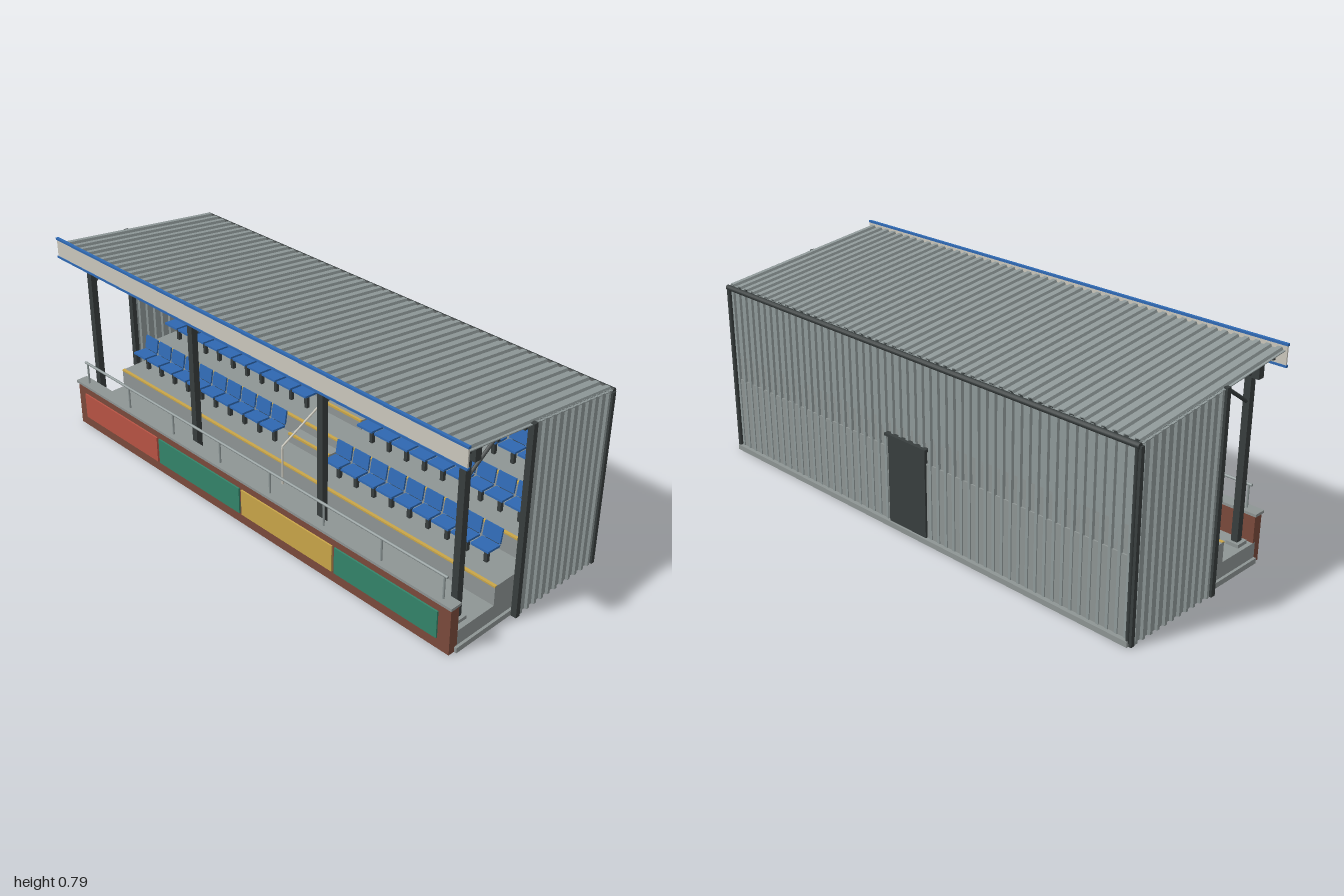
import * as THREE from 'three';

const mat = (name, color) => {
  const m = new THREE.MeshStandardMaterial({ color });
  m.name = name;
  return m;
};

export function createModel() {
  const root = new THREE.Group();
  root.name = 'grandstand';
  const sheet = mat('sheetGrey', 0x8f9999);
  const concrete = mat('concrete', 0x8e9594);
  const steel = mat('darkSteel', 0x383e3e);
  const brick = mat('brick', 0x7a4a3b);
  const blue = mat('seatBlue', 0x2f69b3);
  const white = mat('offWhite', 0xcbc8bd);
  const yellow = mat('yellow', 0xc9a548);
  const green = mat('green', 0x33846a);
  const red = mat('red', 0xb85344);

  const add = (name, geo, material, parent = root) => {
    const m = new THREE.Mesh(geo, material);
    m.name = name;
    parent.add(m);
    return m;
  };
  // Box given by its extents on each axis
  const box = (name, material, x0, x1, y0, y1, z0, z1, parent = root) => {
    const m = add(name, new THREE.BoxGeometry(x1 - x0, y1 - y0, z1 - z0), material, parent);
    m.position.set((x0 + x1) / 2, (y0 + y1) / 2, (z0 + z1) / 2);
    return m;
  };
  // Straight bar between two points, round or square
  const bar = (name, material, a, b, r, sides = 8) => {
    const p = new THREE.Vector3(...a), q = new THREE.Vector3(...b);
    const m = add(name, new THREE.CylinderGeometry(r, r, p.distanceTo(q), sides), material);
    m.position.copy(p).add(q).multiplyScalar(0.5);
    m.quaternion.setFromUnitVectors(new THREE.Vector3(0, 1, 0), q.sub(p).normalize());
    return m;
  };
  // Shape drawn in (z, y), extruded across x between -half and +half
  const acrossX = (pts, half) => {
    const g = new THREE.ExtrudeGeometry(new THREE.Shape(pts.map(p => new THREE.Vector2(...p))),
      { depth: half * 2, bevelEnabled: false });
    return g.rotateY(-Math.PI / 2).translate(half, 0, 0);
  };
  // Ribbed sheet: ribs rise in +y and run along +z from 0 to length
  const ribbed = (width, length, count, rib, top) => {
    const pitch = width / count, upper = [], t = 0.003;
    for (let i = 0; i < count; i++) {
      const c = -width / 2 + pitch * (i + 0.5);
      const h = pitch * top / 2, s = h + pitch * 0.1;
      upper.push([c - s, 0], [c - h, rib], [c + h, rib], [c + s, 0]);
    }
    upper.unshift([-width / 2, 0]);
    upper.push([width / 2, 0]);
    const lower = upper.map(([x, y]) => [x, y - t]);
    const shape = new THREE.Shape([...lower, ...upper.reverse()].map(p => new THREE.Vector2(...p)));
    return new THREE.ExtrudeGeometry(shape, { depth: length, bevelEnabled: false });
  };
  const SLOPE = 0.121;
  const under = z => 0.715 + SLOPE * z; // underside of the roof

  // Stepped concrete terrace
  const H = 0.965, rise = 0.075, run = 0.163, z0 = 0.145;
  const prof = [[-0.35, 0], [0.33, 0], [0.33, 0.077], [z0, 0.077]];
  for (let i = 0; i < 3; i++) {
    const y = 0.152 + i * rise;
    prof.push([z0 - i * run, y], [i < 2 ? z0 - (i + 1) * run : -0.35, y]);
  }
  add('terrace', acrossX(prof, H), concrete);
  for (let i = 0; i < 3; i++) {
    const y = 0.152 + i * rise, z = z0 - i * run;
    box('stepNosing', yellow, -H, H, y - 0.004, y + 0.002, z - 0.01, z + 0.002);
    if (i > 0) {
      box('aisleStep', concrete, -0.105, 0.105, y - rise, y - rise / 2, z, z + 0.05);
      box('aisleNosing', yellow, -0.105, 0.105, y - rise / 2 - 0.006, y - rise / 2 + 0.002, z + 0.042, z + 0.052);
    }
  }
  box('rearKerb', concrete, -H, H, 0.3, 0.4, -0.345, -0.325);
  box('rearPlinth', concrete, -0.985, 0.985, 0, 0.02, -0.366, -0.34);
  box('floorSlab', concrete, -0.975, 0.975, 0, 0.02, -0.35, 0.33);

  // Brick front wall with coping and coloured boards
  box('frontWall', brick, -H, H, 0, 0.178, 0.318, 0.355);
  box('coping', concrete, -0.97, 0.97, 0.178, 0.188, 0.313, 0.361);
  [red, green, yellow, green].forEach((m, i) => {
    const x = -0.92 + i * 0.4617;
    box('frontBoard', m, x, x + 0.45, 0.042, 0.146, 0.355, 0.361);
  });

  // Handrail on the front wall
  bar('frontRail', sheet, [-0.93, 0.274, 0.338], [0.93, 0.274, 0.338], 0.005);
  for (let i = 0; i < 8; i++) {
    const x = -0.917 + i * 0.262;
    bar('railPost', sheet, [x, 0.188, 0.338], [x, 0.274, 0.338], 0.004);
  }

  // Aisle handrail
  const railPath = new THREE.CurvePath();
  const rp = [[0, 0.077, 0.16], [0, 0.235, 0.16], [0, 0.455, -0.27], [0, 0.302, -0.27]]
    .map(p => new THREE.Vector3(...p));
  for (let i = 0; i < 3; i++) railPath.add(new THREE.LineCurve3(rp[i], rp[i + 1]));
  add('aisleRail', new THREE.TubeGeometry(railPath, 60, 0.004, 8), white);
  bar('aisleRailPost', white, [0, 0.2, -0.05], [0, 0.342, -0.05], 0.004);

  // Seats: three rows, ten on one side of the aisle and nine on the other
  const panGeo = new THREE.BoxGeometry(0.073, 0.008, 0.06);
  const backGeo = new THREE.BoxGeometry(0.073, 0.054, 0.007);
  const legGeo = new THREE.BoxGeometry(0.014, 0.066, 0.014);
  const bracketGeo = new THREE.BoxGeometry(0.05, 0.022, 0.006);
  const seatXs = [];
  for (let i = 0; i < 10; i++) seatXs.push(-0.147 - i * 0.0837);
  for (let i = 0; i < 9; i++) seatXs.push(0.19 + i * 0.0837);
  for (let r = 0; r < 3; r++) {
    for (const x of seatXs) {
      const seat = new THREE.Group();
      seat.name = 'seat';
      seat.position.set(x, 0.152 + r * rise, 0.07 - r * run);
      root.add(seat);
      const pan = add('seatPan', panGeo, blue, seat);
      pan.position.set(0, 0.071, 0.004);
      pan.rotation.x = -0.06;
      const back = add('seatBack', backGeo, blue, seat);
      back.position.set(0, 0.103, -0.032);
      back.rotation.x = -0.17;
      add('seatLeg', legGeo, steel, seat).position.set(0, 0.033, -0.008);
      add('seatBracket', bracketGeo, steel, seat).position.set(0, 0.075, -0.031);
    }
  }

  // Columns with base plates, braces and sloping rafters
  for (const x of [-0.925, -0.33, 0.325, 0.92]) {
    box('columnBase', concrete, x - 0.025, x + 0.025, 0.077, 0.09, 0.253, 0.303);
    box('column', steel, x - 0.0125, x + 0.0125, 0.09, 0.746, 0.265, 0.29);
    bar('brace', steel, [x, 0.597, 0.268], [x, 0.695, 0.125], 0.007, 4);
    add('rafter', acrossX([[-0.34, under(-0.34) - 0.04], [0.357, under(0.357) - 0.043],
      [0.352, under(0.352)], [-0.34, under(-0.34)]], 0.01), steel).position.x = x;
  }
  box('frontBeam', steel, -0.965, 0.965, 0.682, 0.735, 0.264, 0.291);
  for (let i = 0; i < 6; i++) {
    const z = 0.328 - i * 0.128, y = under(z);
    box('purlin', steel, -0.975, 0.975, y - 0.021, y, z - 0.006, z + 0.006);
  }

  // Ribbed roof sheet
  const roof = add('roof', ribbed(1.984, 0.71, 48, 0.009, 0.4), sheet);
  roof.position.set(0, under(-0.345) + 0.004, -0.345);
  roof.rotation.x = -Math.atan(SLOPE);

  // Fascia with blue edging
  box('fascia', white, -0.998, 0.998, 0.71, 0.78, 0.361, 0.367);
  for (const y of [0.705, 0.778]) box('fasciaTrim', blue, -1, 1, y, y + 0.008, 0.359, 0.37);

  // Rear wall
  const rear = ribbed(1.97, 0.665, 53, 0.008, 0.3).rotateX(-Math.PI / 2).translate(0, 0.012, -0.345);
  add('rearWall', rear, sheet);

  // Side walls, trimmed to the roof slope, with front posts and rear downpipes
  for (const s of [-1, 1]) {
    const g = ribbed(0.4, 1, 11, 0.009, 0.3).rotateX(-Math.PI / 2).rotateY(-s * Math.PI / 2)
      .translate(s * 0.984, 0, -0.147);
    const p = g.attributes.position;
    for (let i = 0; i < p.count; i++) if (p.getY(i) > 0.5) p.setY(i, under(p.getZ(i)) + 0.007);
    add('sideWall', g, sheet);
    const x = s * 0.987;
    box('wallPost', steel, x - 0.011, x + 0.011, 0, 0.729, 0.047, 0.066);
    box('cornerTrim', steel, x - 0.009, x + 0.009, 0, 0.67, -0.357, -0.342);
    bar('downpipe', steel, [s * 0.98, 0.01, -0.357], [s * 0.98, 0.67, -0.357], 0.006);
  }
  bar('gutter', steel, [-0.99, 0.671, -0.355], [0.99, 0.671, -0.355], 0.01, 12);

  // Rear door with a small hood
  box('rearDoor', steel, -0.092, 0.092, 0.02, 0.35, -0.358, -0.342);
  box('doorHood', steel, -0.102, 0.102, 0.35, 0.36, -0.366, -0.342);

  return root;
}
